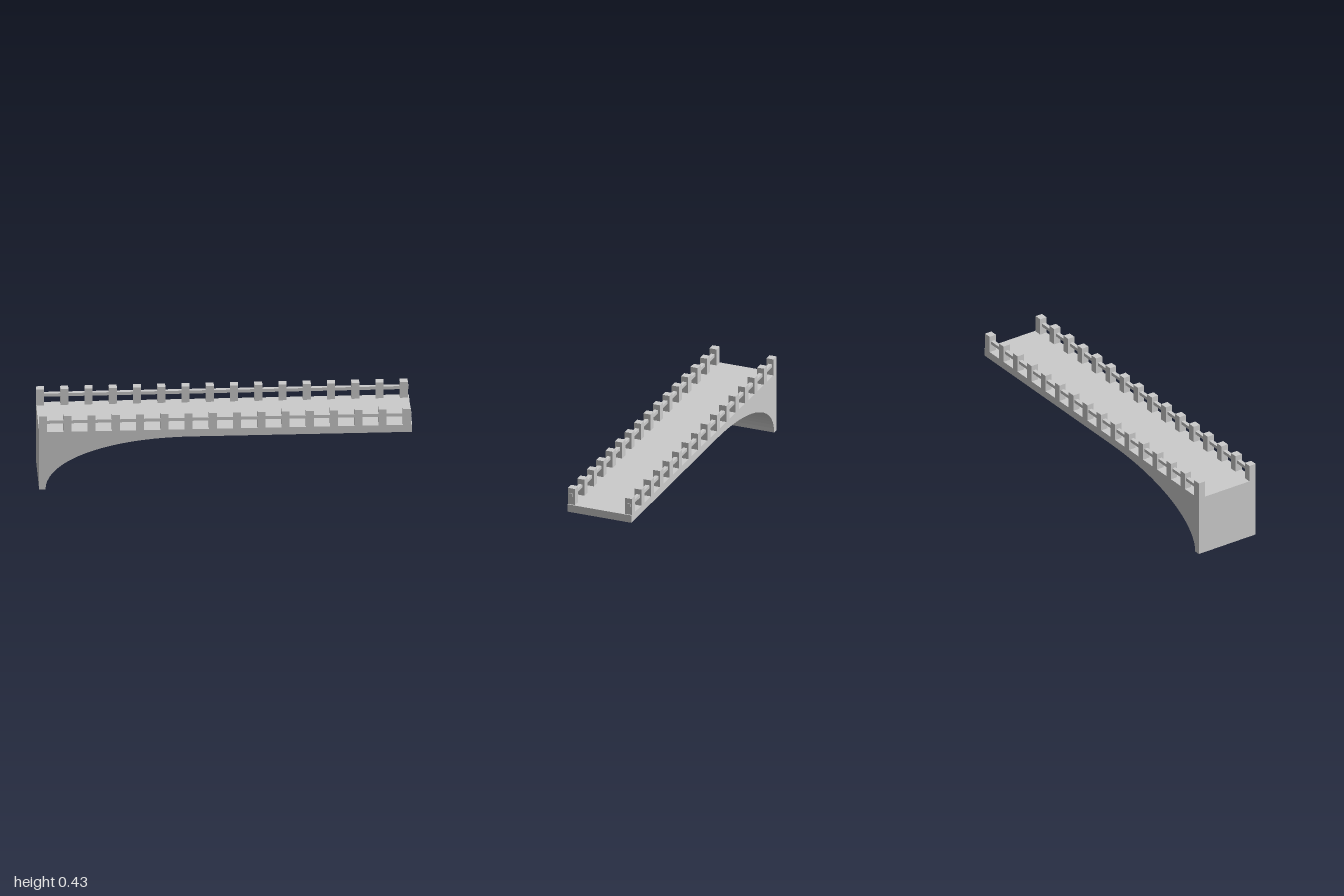
import * as THREE from 'three';

export function createModel() {
  const model = new THREE.Group();
  const material = new THREE.MeshStandardMaterial({ color: 0xcccccc, flatShading: true });
  const width = 0.372, deckTop = 0.34, deckBottom = 0.297;

  const addBox = (parent, name, size, position) => {
    const mesh = new THREE.Mesh(new THREE.BoxGeometry(...size), material);
    mesh.name = name;
    mesh.position.set(...position);
    parent.add(mesh);
  };

  // Deck and half arch share one side profile
  const profile = new THREE.Shape();
  profile.moveTo(-1, 0);
  profile.lineTo(-0.966, 0);
  profile.bezierCurveTo(-0.966, 0.166, -0.65, deckBottom, -0.18, deckBottom);
  profile.lineTo(1, deckBottom);
  profile.lineTo(1, deckTop);
  profile.lineTo(-1, deckTop);
  profile.closePath();
  const span = new THREE.Mesh(
    new THREE.ExtrudeGeometry(profile, { depth: width, bevelEnabled: false, curveSegments: 20 }),
    material
  );
  span.name = 'archedDeck';
  span.position.z = -width / 2;
  model.add(span);

  // A railing of square posts and one bar along each edge
  const postWidth = 0.043, postDepth = 0.041, postHeight = 0.094, postCount = 16;
  for (const side of [1, -1]) {
    const railing = new THREE.Group();
    railing.name = side > 0 ? 'frontRailing' : 'backRailing';
    const z = side * (width / 2 - postDepth / 2);
    for (let i = 0; i < postCount; i++) {
      addBox(railing, 'post', [postWidth, postHeight, postDepth],
        [-0.9785 + i * 0.13, deckTop + postHeight / 2, z]);
    }
    addBox(railing, 'railBar', [1.995, 0.018, 0.021], [-0.0005, 0.395, side * 0.167]);
    model.add(railing);
  }

  return model;
}
